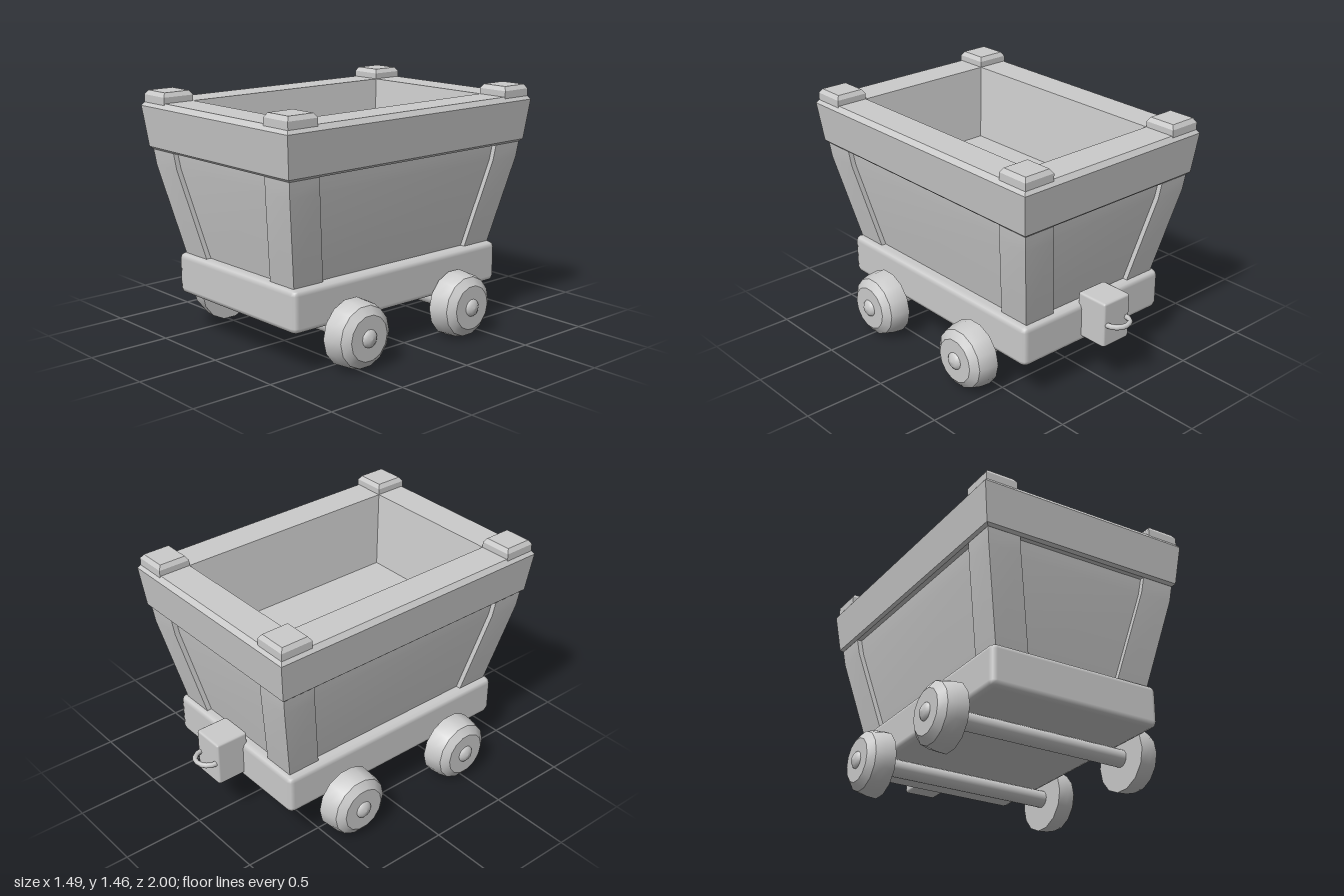
import * as THREE from 'three';
import { toCreasedNormals } from 'three/addons/utils/BufferGeometryUtils.js';
import { RoundedBoxGeometry } from 'three/addons/geometries/RoundedBoxGeometry.js';

const TUB_Z = 0.065; // tub centre along z
const EXTRA = 0.265; // tub half length minus half width

// Skin through rectangular rings, each [centreX, y, centreZ, halfX, halfZ]
function loft(rings) {
  const corners = [[1, 1], [1, -1], [-1, -1], [-1, 1]];
  const point = (r, k) => {
    const [sx, sz] = corners[k % 4];
    return [r[0] + sx * r[3], r[1], r[2] + sz * r[4]];
  };
  const pos = [];
  for (let i = 0; i < rings.length - 1; i++) {
    for (let k = 0; k < 4; k++) {
      const a = point(rings[i], k), b = point(rings[i], k + 1);
      const c = point(rings[i + 1], k + 1), d = point(rings[i + 1], k);
      pos.push(...a, ...b, ...c, ...a, ...c, ...d);
    }
  }
  const geo = new THREE.BufferGeometry();
  geo.setAttribute('position', new THREE.Float32BufferAttribute(pos, 3));
  return toCreasedNormals(geo, 0.5);
}

// Close a ring with a point at its own centre
const closed = ([x, y, z]) => [x, y, z, 0, 0];

export function createModel() {
  const model = new THREE.Group();
  model.name = 'mineCart';
  const material = new THREE.MeshStandardMaterial({ color: 0xcccccc });
  const add = (name, geo, x = 0, y = 0, z = 0, parent = model) => {
    const mesh = new THREE.Mesh(geo, material);
    mesh.name = name;
    mesh.position.set(x, y, z);
    parent.add(mesh);
    return mesh;
  };
  const tubRing = ([half, y]) => [0, y, TUB_Z, half, half + EXTRA];

  // Flared side panels, set slightly behind the corner posts
  add('tubPanels', loft([[0.469, 0.49], [0.584, 1.03], [0.598, 1.14]].map(tubRing)));

  // Thick rim with bevelled edges, inner walls and floor
  const rim = [[0.56, 1.125], [0.626, 1.125], [0.642, 1.14], [0.67, 1.38],
    [0.648, 1.41], [0.455, 1.41], [0.395, 0.97]].map(tubRing);
  add('rimAndInside', loft([...rim, closed(rim[rim.length - 1])]));

  // Corner posts and their bevelled caps
  for (const sx of [1, -1]) {
    for (const sz of [1, -1]) {
      const ring = ([outer, y, half]) =>
        [sx * (outer - half), y, TUB_Z + sz * (outer + EXTRA - half), half, half];
      const post = [[0.499, 0.49, 0.1025], [0.614, 1.03, 0.1025], [0.626, 1.13, 0.1025]].map(ring);
      add('cornerPost', loft([closed(post[0]), ...post]));
      const cap = [[0.655, 1.4, 0.1], [0.655, 1.445, 0.1], [0.638, 1.47, 0.083]].map(ring);
      add('postCap', loft([...cap, closed(cap[2])]));
    }
  }

  // Chassis block
  add('chassis', new RoundedBoxGeometry(1.085, 0.25, 1.595, 1, 0.035), 0, 0.378, 0.065);

  // Wheel profile, turned about its axle: inner disc, tread, outer face
  const wheelProfile = [[0, 0], [0.2, 0], [0.195, 0.065], [0.18, 0.12], [0.133, 0.155], [0, 0.155]]
    .map(([r, h]) => new THREE.Vector2(r, h));
  const wheelGeo = toCreasedNormals(new THREE.LatheGeometry(wheelProfile, 14), 0.62);
  const hubProfile = [[0.053, 0], [0.05, 0.008], [0.032, 0.022], [0, 0.027]]
    .map(([r, h]) => new THREE.Vector2(r, h));
  const hubGeo = new THREE.LatheGeometry(hubProfile, 14);

  for (const z of [0.48, -0.34]) {
    const axle = add('axle', new THREE.CylinderGeometry(0.053, 0.053, 1.16, 16), 0, 0.2, z);
    axle.rotation.z = Math.PI / 2;
    for (const side of [1, -1]) {
      const wheel = new THREE.Group();
      wheel.name = side > 0 ? 'leftWheel' : 'rightWheel';
      wheel.position.set(side * 0.565, 0.2, z);
      wheel.rotation.z = -side * Math.PI / 2;
      add('tyre', wheelGeo, 0, 0, 0, wheel);
      add('hubCap', hubGeo, 0, 0.154, 0, wheel);
      model.add(wheel);
    }
  }

  // Rear coupling block with its half ring
  add('couplingBlock', new RoundedBoxGeometry(0.205, 0.28, 0.21, 1, 0.015), 0, 0.43, -0.805);
  const ring = add('couplingRing', new THREE.TorusGeometry(0.077, 0.016, 6, 8, Math.PI), 0, 0.43, -0.907);
  ring.rotation.x = -Math.PI / 2;

  return model;
}
